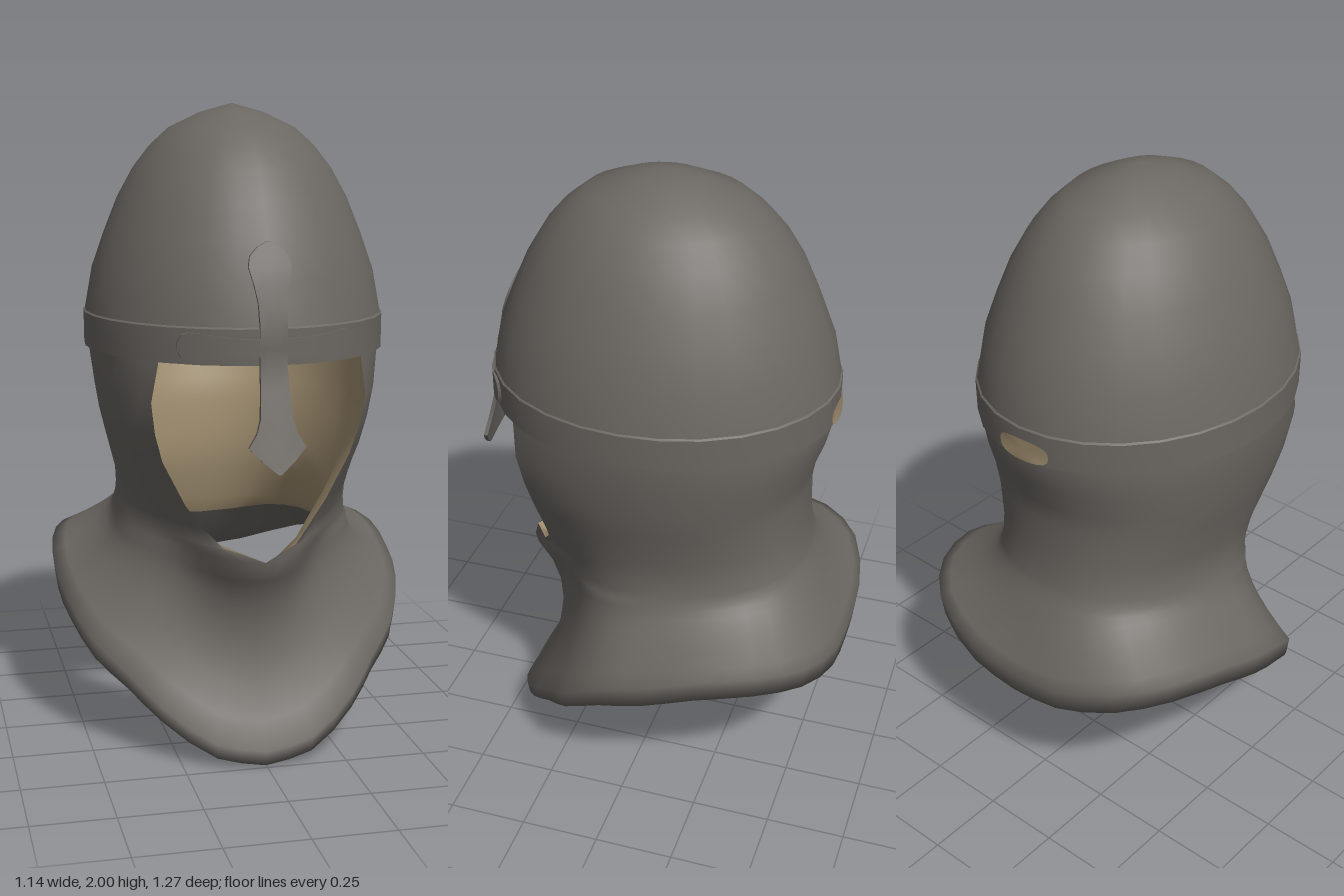
import * as THREE from 'three';
import { mergeVertices, toCreasedNormals } from 'three/addons/utils/BufferGeometryUtils.js';

const RX = 0.47, RZ = 0.55; // helmet radii at the band
const N = 44;               // columns around the hood
const PEAK = 1.08;          // the dome is a little more pointed seen from the front

// dome profile: height, relative radius
const DOME = [[1.25, 1], [1.36, 0.992], [1.49, 0.945], [1.6, 0.868], [1.71, 0.78], [1.8, 0.68],
  [1.87, 0.57], [1.925, 0.445], [1.972, 0.235], [2, 0]];

function domeRadius(y) {
  for (let i = 1; i < DOME.length; i++) {
    const [y0, r0] = DOME[i - 1], [y1, r1] = DOME[i];
    if (y <= y1) return r0 + (r1 - r0) * Math.max(0, (y - y0) / (y1 - y0));
  }
  return 0;
}

// hood rows: height, side radius, front radius, back radius, half width of face opening
const ROWS = [
  [1.31, 0.45, 0.535, 0.53, 0.30], [1.24, 0.455, 0.543, 0.541, 0.31], [1.12, 0.44, 0.585, 0.515, 0.33],
  [1.02, 0.425, 0.56, 0.485, 0.318], [0.93, 0.405, 0.53, 0.472, 0.297], [0.79, 0.372, 0.475, 0.474, 0.235],
  [0.72, 0.368, 0.445, 0.48, 0.18], [0.67, 0.372, 0.44, 0.488, 0.12], [0.64, 0.38, 0.465, 0.495, 0]];

// outer fold of the mantle, from the front point round to the back
const FOLD = new THREE.CatmullRomCurve3([[0, 0.05, 0.49], [0.15, 0.08, 0.475], [0.305, 0.18, 0.39],
  [0.4, 0.27, 0.295], [0.49, 0.35, 0.2], [0.55, 0.45, 0.06], [0.57, 0.51, -0.1], [0.56, 0.565, -0.26],
  [0.5, 0.58, -0.44], [0.38, 0.555, -0.57], [0.18, 0.5, -0.63], [0, 0.48, -0.635],
].map(p => new THREE.Vector3(...p)));

// lining = thickness of the padding, 0 for the outside
function hoodPoint([y, rx, rf, rb, hole], k, lining = 0) {
  const start = Math.asin(hole / rx);
  const a = start + (2 * Math.PI - 2 * start) * k / N;
  const c = Math.cos(a);
  const down = (1.31 - y) / 0.67;
  // cheeks narrow towards the chin, the nape stays full
  const corner = Math.sin(2 * a) ** 2;
  const full = c > 0 ? 1 - 0.18 * corner * down ** 4 : 1 + 0.07 * corner * down;
  // padding thickens downwards and meets the hood at the opening
  const s = full * (k === 0 || k === N ? 1 : 1 - lining * (0.5 + 0.5 * down));
  return new THREE.Vector3(rx * Math.sin(a) * s, y + 0.05 * (1 - c) * down, (c > 0 ? rf : rb) * c * s);
}

// flaring mantle: t = 0 at the neck, 1 at the fold
function mantlePoint(t, k, shrink = 1, lower = 0) {
  const mirrored = k > N / 2;
  const h = mirrored ? N - k : k;
  const cos = Math.cos(2 * Math.PI * h / N);
  const b = hoodPoint(ROWS[ROWS.length - 1], h);
  const f = FOLD.getPoint(h / (N / 2));
  const m = 1 - 0.47 * Math.max(0, cos) ** 3 + 0.1 * Math.max(0, -cos);
  const c = new THREE.Vector3(b.x * m, b.y + (f.y - b.y) * 0.42, b.z * m);
  const p = new THREE.QuadraticBezierCurve3(b, c, f).getPoint(t);
  // the hem is deeper at the sides and back
  const drop = lower * (1 + 0.65 * Math.min(1, 1 - cos));
  return new THREE.Vector3((mirrored ? -1 : 1) * p.x * shrink, p.y - drop, p.z * shrink);
}

// skin a list of row functions (column -> point)
function loft(rows) {
  const pos = [], index = [], w = N + 1;
  for (const row of rows) for (let k = 0; k <= N; k++) pos.push(...row(k).toArray());
  for (let i = 0; i < rows.length - 1; i++) for (let k = 0; k < N; k++) {
    const a = i * w + k, b = a + w;
    index.push(a, b, a + 1, b, b + 1, a + 1);
  }
  let g = new THREE.BufferGeometry();
  g.setAttribute('position', new THREE.Float32BufferAttribute(pos, 3));
  g.setIndex(index);
  g = mergeVertices(g, 1e-5);
  g.computeVertexNormals();
  return g;
}

function ovalLathe(points, scale = 1) {
  const g = new THREE.LatheGeometry(points.map(([r, y]) => new THREE.Vector2(r, y)), 28);
  return g.scale(RX * scale, 1, RZ * scale);
}

// oval dome, narrowed sideways towards the peak
function domeGeometry(points, scale) {
  const g = ovalLathe(points, scale);
  const p = g.attributes.position;
  for (let i = 0; i < p.count; i++) p.setX(i, p.getX(i) * domeRadius(p.getY(i)) ** (PEAK - 1));
  g.deleteAttribute('normal');
  g.deleteAttribute('uv');
  const merged = mergeVertices(g, 1e-4);
  merged.computeVertexNormals();
  return merged;
}

// front surface that the cross lies on; the nose guard leans forward below the band
function frontZ(x, y) {
  const r = y < 1.365 ? 1 : domeRadius(y);
  const bend = Math.sqrt(Math.max(0, 1 - (x / (RX * r ** PEAK)) ** 2));
  return RZ * r * bend + Math.max(0, 1.25 - y) * 0.25;
}

// thin bar laid on the front: stations of [distance along, half width]
function crossBar(stations, horizontal, centre) {
  const g = new THREE.BoxGeometry(1, 1, 1, 4, stations.length - 1, 1);
  const p = g.attributes.position;
  for (let i = 0; i < p.count; i++) {
    const [along, half] = stations[Math.round((p.getY(i) + 0.5) * (stations.length - 1))];
    const across = p.getX(i) * 2 * half;
    const x = horizontal ? -along : across;
    const y = horizontal ? centre + across : along;
    p.setXYZ(i, x, y, frontZ(x, y) + p.getZ(i) * 0.013 + 0.001);
  }
  return toCreasedNormals(g, 0.6);
}

export function createModel() {
  const steel = new THREE.MeshStandardMaterial({ color: 0x6b6762 });
  steel.name = 'dark steel';
  const leather = new THREE.MeshStandardMaterial({ color: 0xa18f70 });
  leather.name = 'tan lining';

  const model = new THREE.Group();
  model.name = 'helmet';
  const add = (name, geometry, material) => {
    const mesh = new THREE.Mesh(geometry, material);
    mesh.name = name;
    model.add(mesh);
  };

  // skull and brow band
  add('skullDome', domeGeometry(DOME.slice(1).map(([y, r]) => [r, y]), 1), steel);
  add('domeLining', domeGeometry([...DOME].reverse().map(([y, r]) => [r, y - 0.02 * (y - 1.25)]), 0.95), leather);
  add('browBand', toCreasedNormals(
    ovalLathe([[0.94, 1.25], [1, 1.25], [1.002, 1.355], [0.985, 1.362]]), 0.6), steel);

  // hood with its mantle, turned under at the hem
  const hood = ROWS.map(r => k => hoodPoint(r, k));
  for (const t of [0.15, 0.3, 0.45, 0.6, 0.75, 0.88, 1]) hood.push(k => mantlePoint(t, k));
  hood.push(k => mantlePoint(1, k, 0.985, 0.045));
  for (const [t, s] of [[0.92, 0.935], [0.7, 0.915], [0.48, 0.895]]) hood.push(k => mantlePoint(t, k, s, 0.035));
  add('hood', loft(hood), steel);

  // lining inside the hood
  const lining = [0.48, 0.25].map(t => k => mantlePoint(t, k, 0.895, 0.035));
  for (const r of [...ROWS].reverse()) lining.push(k => hoodPoint(r, k, 0.105));
  add('hoodLining', loft(lining), leather);

  // cross-shaped nose guard
  add('noseGuard', crossBar([[0.945, 0.004], [0.98, 0.045], [1.02, 0.085], [1.06, 0.06], [1.1, 0.048],
    [1.18, 0.043], [1.25, 0.04], [1.3, 0.04], [1.36, 0.04], [1.43, 0.042], [1.48, 0.052], [1.53, 0.064],
    [1.56, 0.058], [1.585, 0.035], [1.6, 0.008]], false, 0), steel);
  const arm = [[0.03, 0.026], [0.09, 0.026], [0.15, 0.031], [0.2, 0.039], [0.235, 0.042], [0.255, 0.034], [0.265, 0.012]];
  add('crossArms', crossBar([...arm.map(([x, h]) => [-x, h]).reverse(), ...arm], true, 1.302), steel);

  // worn tan patch with squarish ends at the back of the band
  const patch = new THREE.CircleGeometry(1, 24).rotateY(Math.PI);
  const p = patch.attributes.position;
  const square = v => Math.sign(v) * Math.abs(v) ** 0.7;
  for (let i = 0; i < p.count; i++) {
    const x = square(p.getX(i)) * 0.092 - 0.015;
    p.setXYZ(i, x, 1.288 + square(p.getY(i)) * 0.036, -RZ * Math.sqrt(1 - (x / RX) ** 2) - 0.005);
  }
  patch.computeVertexNormals();
  add('backPatch', patch, leather);

  return model;
}
